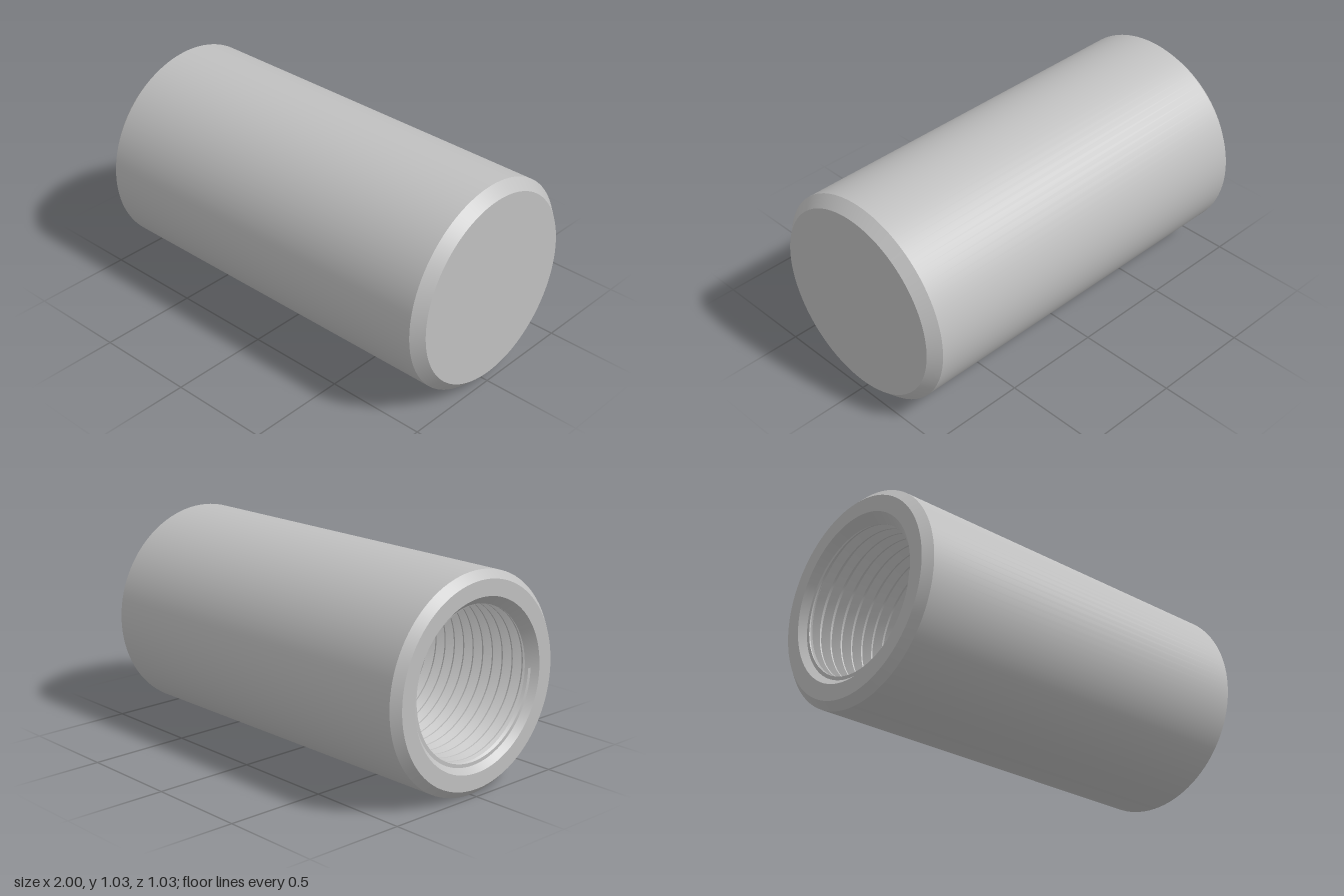
import * as THREE from 'three';
import { toCreasedNormals } from 'three/addons/utils/BufferGeometryUtils.js';

const RADIUS = 0.517;
const SEGMENTS = 96;
const CREST = 0.36, ROOT = 0.4;        // inner thread radii
const PITCH = 0.06;
const MOUTH = -0.97, FLOOR = 0.3;      // extent of the thread along the axis

// Lathe around the y axis from [radius, height] pairs
function lathe(pairs) {
  return new THREE.LatheGeometry(pairs.map(([r, y]) => new THREE.Vector2(r, y)), SEGMENTS);
}

// Zigzag lathe sheared by one pitch per turn, which gives a continuous helix
function threadGeometry() {
  const profile = [];
  for (let y = FLOOR; y > MOUTH - PITCH; y -= PITCH) {
    profile.push([ROOT, y], [ROOT, y - PITCH * 0.12], [CREST, y - PITCH * 0.5], [CREST, y - PITCH * 0.62]);
  }
  const geometry = lathe(profile);
  const position = geometry.attributes.position;
  for (let i = 0; i < position.count; i++) {
    const turn = Math.floor(i / profile.length) / SEGMENTS;
    const y = position.getY(i) + PITCH * turn;
    position.setY(i, THREE.MathUtils.clamp(y, MOUTH, FLOOR));
  }
  return geometry;
}

export function createModel() {
  const steel = new THREE.MeshStandardMaterial({ color: 0xc0c0c0 });
  steel.name = 'steel grey';

  const group = new THREE.Group();
  group.name = 'threadedSleeve';
  const add = (name, geometry) => {
    const mesh = new THREE.Mesh(toCreasedNormals(geometry, 0.5), steel);
    mesh.name = name;
    group.add(mesh);
  };

  // Countersunk mouth, end ring, chamfered barrel and closed end
  add('barrel', lathe([
    [CREST, -0.95], [0.403, -1], [0.48, -1], [RADIUS, -0.962],
    [RADIUS, 0.95], [0.467, 1], [0, 1],
  ]));

  // Helical thread inside the bore
  add('innerThread', threadGeometry());

  // Conical bottom of the blind hole
  add('holeBottom', lathe([[0, FLOOR + 0.2], [CREST, FLOOR], [ROOT + 0.01, FLOOR]]));

  // Lay the axis along x and rest the barrel on the ground
  group.rotation.z = -Math.PI / 2;
  group.position.y = RADIUS;

  const model = new THREE.Group();
  model.name = 'threadedCylinder';
  model.add(group);
  return model;
}
